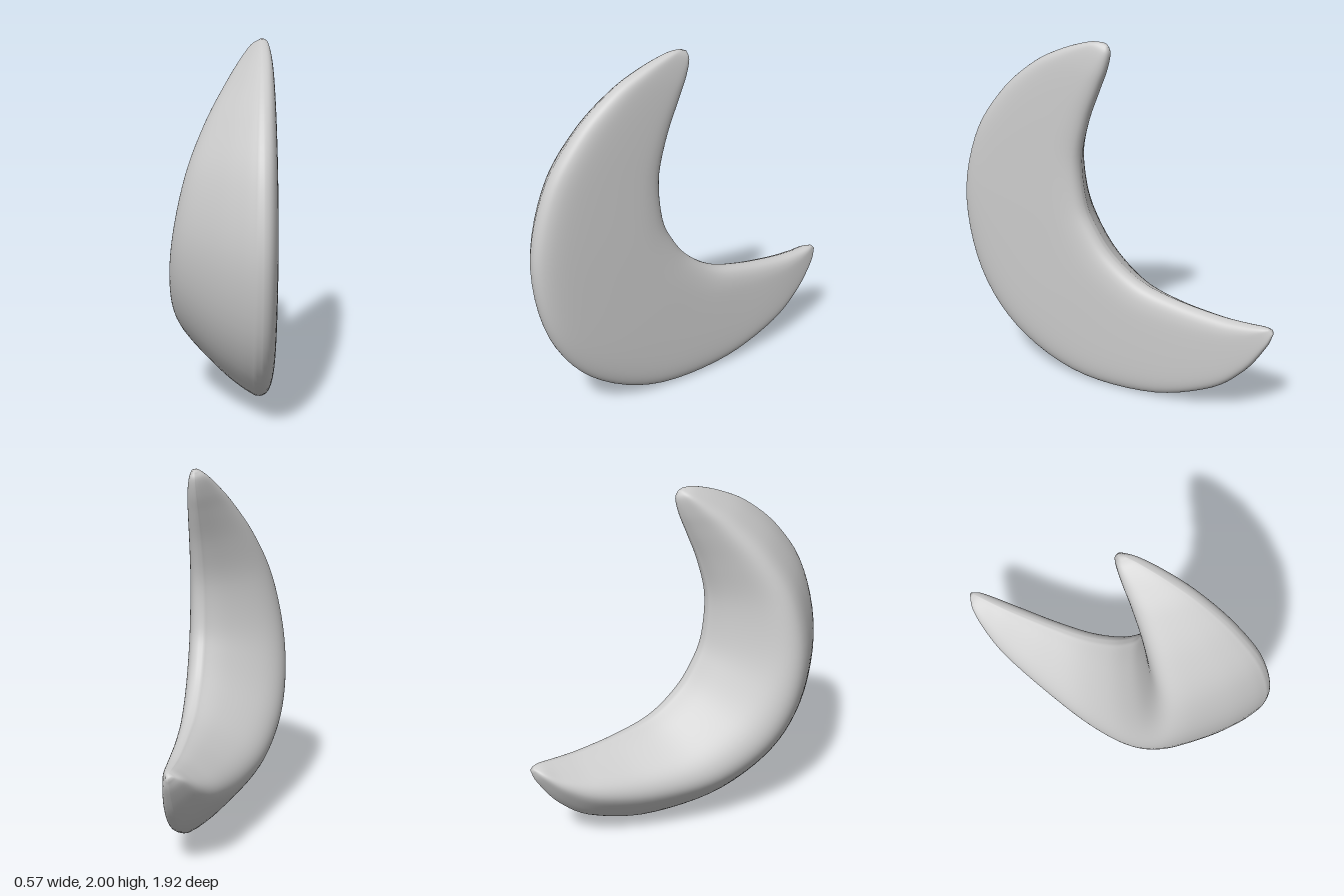
import * as THREE from 'three';

// Stations from the upper tip to the lower tip:
// outer z, outer y, inner z, inner y, flat face x, ridge x
const STATIONS = [
  [0.06, 2.0, 0.02, 1.985, 0.212, 0.188],
  [0.14, 1.993, 0.008, 1.94, 0.235, 0.14],
  [0.30, 1.942, 0.03, 1.85, 0.252, 0.08],
  [0.48, 1.85, 0.075, 1.74, 0.262, 0.01],
  [0.69, 1.67, 0.15, 1.55, 0.27, -0.095],
  [0.875, 1.395, 0.199, 1.33, 0.276, -0.192],
  [0.963, 1.0, 0.177, 1.09, 0.281, -0.26],
  [0.88, 0.56, 0.114, 0.945, 0.282, -0.285],
  [0.64, 0.23, 0.003, 0.80, 0.281, -0.268],
  [0.245, 0.03, -0.177, 0.675, 0.276, -0.2],
  [-0.23, 0.015, -0.40, 0.615, 0.27, -0.105],
  [-0.60, 0.135, -0.65, 0.582, 0.265, -0.015],
  [-0.80, 0.29, -0.80, 0.578, 0.253, 0.06],
  [-0.92, 0.46, -0.89, 0.58, 0.235, 0.125],
  [-0.957, 0.55, -0.935, 0.575, 0.212, 0.182],
];
const RIM_X = 0.2;

// Rounded triangular section: across (0 outer, 1 inner), and height
// (+1 is the flat face, 0 the rim, -1 the ridge)
const SECTION = [
  [0, 0], [0.015, 0.38], [0.055, 0.67], [0.13, 0.87], [0.26, 0.97], [0.5, 1],
  [0.76, 0.97], [0.88, 0.87], [0.95, 0.67], [0.986, 0.38],
  [1, 0], [0.985, -0.11], [0.93, -0.32], [0.83, -0.6], [0.73, -0.83], [0.64, -0.96],
  [0.55, -1], [0.46, -0.95], [0.35, -0.8], [0.18, -0.5], [0.075, -0.27], [0.018, -0.11],
];

function createCrescentGeometry(rings = 72, sides = 88) {
  const spline = (pick) => new THREE.CatmullRomCurve3(STATIONS.map(pick), false, 'catmullrom', 0.5);
  const outer = spline((s) => new THREE.Vector3(0, s[1], s[0]));
  const inner = spline((s) => new THREE.Vector3(0, s[3], s[2]));
  const depth = spline((s) => new THREE.Vector3(s[4], s[5], 0));
  const section = new THREE.CatmullRomCurve3(
    SECTION.map(([a, h]) => new THREE.Vector3(a, h, 0)), true, 'catmullrom', 0.5);

  const positions = [];
  const index = [];
  const centre = [];
  for (let i = 0; i <= rings; i++) {
    const t = i / rings;
    const o = outer.getPoint(t), n = inner.getPoint(t), d = depth.getPoint(t);
    centre.push(o.clone().lerp(n, 0.5).setX((d.x + d.y) / 2));
    for (let j = 0; j < sides; j++) {
      const s = section.getPoint(j / sides);
      const p = o.clone().lerp(n, s.x);
      p.x = RIM_X + (s.y > 0 ? s.y * (d.x - RIM_X) : s.y * (RIM_X - d.y));
      positions.push(p.x, p.y, p.z);
    }
  }
  for (let i = 0; i < rings; i++) {
    for (let j = 0; j < sides; j++) {
      const k = (j + 1) % sides;
      const a = i * sides + j, b = a + sides, c = (i + 1) * sides + k, e = i * sides + k;
      index.push(a, b, c, a, c, e);
    }
  }
  // Close both tips
  const top = positions.length / 3, low = top + 1, last = rings * sides;
  positions.push(...centre[0].toArray(), ...centre[rings].toArray());
  for (let j = 0; j < sides; j++) {
    const k = (j + 1) % sides;
    index.push(top, j, k, low, last + k, last + j);
  }
  const geometry = new THREE.BufferGeometry();
  geometry.setAttribute('position', new THREE.Float32BufferAttribute(positions, 3));
  geometry.setIndex(index);
  geometry.computeVertexNormals();
  return geometry;
}

export function createModel() {
  const group = new THREE.Group();
  group.name = 'crescent';
  const body = new THREE.Mesh(
    createCrescentGeometry(), new THREE.MeshStandardMaterial({ color: 0xcccccc }));
  body.name = 'crescentBody';
  group.add(body);
  return group;
}
